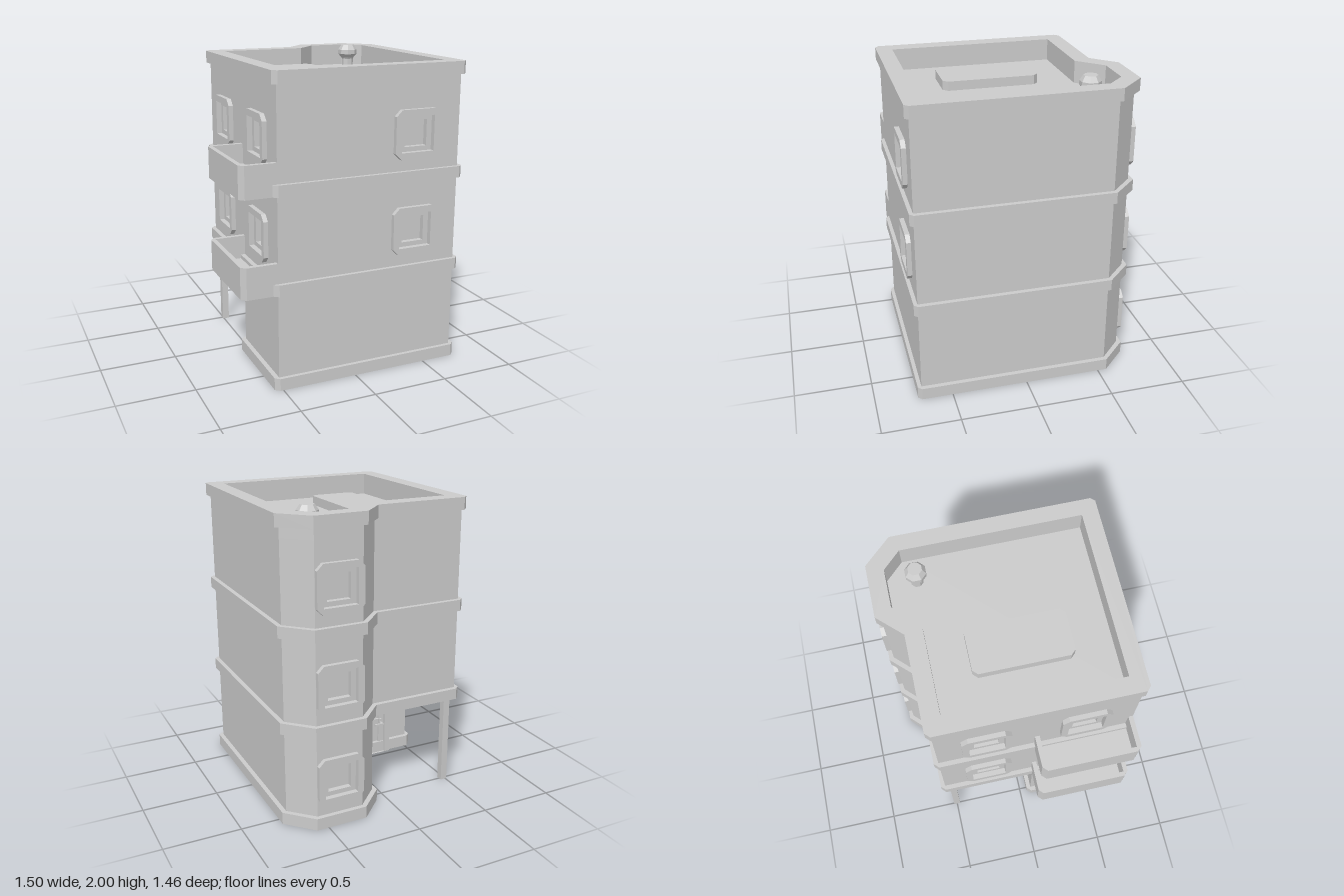
import * as THREE from 'three';

const mat = new THREE.MeshStandardMaterial({ color: 0xcccccc, flatShading: true });

// Plan outlines as [x, z], running front, left side, back, right side
const bay = [[0.715, 0.70], [0.715, -0.55], [0.565, -0.70], [0.25, -0.70], [0.10, -0.55]];
const upperWall = [[-0.52, 0.70], ...bay, [-0.52, -0.55]];
const groundWall = [[-0.52, 0.70], ...bay, [0.10, 0.08], [-0.52, 0.08]];
const ledgeBay = [[-0.52, 0.725], [0.72, 0.725], [0.745, 0.70], [0.745, -0.56], [0.58, -0.73], [0.235, -0.73]];
const upperLedge = [...ledgeBay, [0.09, -0.58], [-0.52, -0.58], [-0.55, -0.55], [-0.55, 0.70]];
const groundLedge = [...ledgeBay, [0.07, -0.565], [0.07, 0.05], [-0.52, 0.05], [-0.55, 0.08], [-0.55, 0.70]];
const roofInner = [[-0.44, 0.62], [0.64, 0.62], [0.64, -0.515], [0.53, -0.625], [0.28, -0.625], [0.13, -0.47], [-0.44, -0.47]];

const toShape = (pts) => new THREE.Shape(pts.map(([x, y]) => new THREE.Vector2(x, y)));

function add(parent, name, geometry, x = 0, y = 0, z = 0) {
  const mesh = new THREE.Mesh(geometry, mat);
  mesh.name = name;
  mesh.position.set(x, y, z);
  parent.add(mesh);
  return mesh;
}

// Rectangle with optional cut corners, centred on (cx, cy)
function rect(w, h, cx = 0, cy = 0, c = 0) {
  const a = w / 2, b = h / 2;
  const pts = c
    ? [[-a + c, -b], [a - c, -b], [a, -b + c], [a, b - c], [a - c, b], [-a + c, b], [-a, b - c], [-a, -b + c]]
    : [[-a, -b], [a, -b], [a, b], [-a, b]];
  return pts.map(([x, y]) => [x + cx, y + cy]);
}

function extrude(outline, holes, depth) {
  const shape = toShape(outline);
  shape.holes = holes.map(toShape);
  return new THREE.ExtrudeGeometry(shape, { depth, bevelEnabled: false });
}

// Horizontal slab from a plan outline between two heights
function slab(parent, name, outline, y0, y1, holes = []) {
  const flip = (pts) => pts.map(([x, z]) => [x, -z]);
  const geometry = extrude(flip(outline), holes.map(flip), y1 - y0).rotateX(-Math.PI / 2);
  return add(parent, name, geometry, 0, y0, 0);
}

// Stepped window, centred on its own origin and facing +z
function makeWindow() {
  const g = new THREE.Group();
  g.name = 'window';
  add(g, 'windowSurround', extrude(rect(0.31, 0.31, 0, 0, 0.04), [rect(0.225, 0.225)], 0.09), 0, 0, -0.06);
  add(g, 'windowSash', extrude(rect(0.225, 0.225), [rect(0.155, 0.165)], 0.045), 0, 0, -0.05);
  add(g, 'windowPane', new THREE.BoxGeometry(0.225, 0.225, 0.01), 0, 0, -0.045);
  return g;
}

// Door with a raised frame, two sunk panels and a lever handle
function makeDoor() {
  const g = new THREE.Group();
  g.name = 'door';
  add(g, 'doorFrame', extrude(rect(0.34, 0.54, 0, 0.27), [rect(0.26, 0.5, 0, 0.25)], 0.045));
  add(g, 'doorLeaf', extrude(rect(0.26, 0.5, 0, 0.25), [rect(0.18, 0.15, 0, 0.125), rect(0.18, 0.19, 0, 0.36)], 0.02));
  add(g, 'doorPanels', new THREE.BoxGeometry(0.26, 0.5, 0.01), 0, 0.25, 0);
  add(g, 'handlePlate', new THREE.BoxGeometry(0.025, 0.06, 0.01), 0.1, 0.235, 0.025);
  add(g, 'handleStem', new THREE.BoxGeometry(0.014, 0.014, 0.04), 0.1, 0.235, 0.045);
  add(g, 'handleLever', new THREE.BoxGeometry(0.07, 0.014, 0.012), 0.075, 0.235, 0.06);
  return g;
}

// One storey of wall panels; windows[i] lists distances along panel i
function storey(parent, name, outline, y0, y1, windowY, windows, doors = {}) {
  const g = new THREE.Group();
  g.name = name;
  outline.forEach(([x, z], i) => {
    const [bx, bz] = outline[(i + 1) % outline.length];
    const length = Math.hypot(bx - x, bz - z);
    const panel = new THREE.Group();
    panel.name = 'wallPanel';
    panel.position.set(x, 0, z);
    panel.rotation.y = Math.atan2(z - bz, bx - x);
    const shape = toShape(rect(length, y1 - y0, length / 2, (y0 + y1) / 2));
    for (const d of windows[i] ?? []) {
      shape.holes.push(toShape(rect(0.25, 0.25, d, windowY)));
      const w = makeWindow();
      w.position.set(d, windowY, 0);
      panel.add(w);
    }
    if (doors[i]) {
      const door = makeDoor();
      door.position.x = doors[i];
      panel.add(door);
    }
    add(panel, 'wall', new THREE.ShapeGeometry(shape));
    g.add(panel);
  });
  parent.add(g);
}

// Balcony tray with a solid parapet on three sides
function balcony(parent, y) {
  const g = new THREE.Group();
  g.name = 'balcony';
  const outer = [[-0.52, 0.07], [-0.72, 0.07], [-0.75, 0.10], [-0.75, 0.67], [-0.72, 0.70], [-0.52, 0.70]];
  slab(g, 'balconyFloor', outer, y, y + 0.05);
  const rail = [...outer, [-0.52, 0.67], [-0.72, 0.67], [-0.72, 0.10], [-0.52, 0.10]];
  slab(g, 'balconyParapet', rail, y + 0.05, y + 0.205);
  parent.add(g);
}

export function createModel() {
  const model = new THREE.Group();
  model.name = 'apartmentBlock';

  // Walls, windows and the recessed entrance
  const upperWindows = { 0: [0.925], 3: [0.1575], 6: [0.315, 0.935] };
  storey(model, 'groundFloor', groundWall, 0.08, 0.625, 0.315, { 3: [0.1575] }, { 6: 0.29 });
  storey(model, 'firstFloor', upperWall, 0.70, 1.245, 0.932, upperWindows);
  storey(model, 'secondFloor', upperWall, 1.32, 1.84, 1.552, upperWindows);

  // Projecting bands between the storeys
  slab(model, 'baseLedge', groundLedge, 0, 0.08);
  slab(model, 'firstFloorLedge', upperLedge, 0.625, 0.70);
  slab(model, 'secondFloorLedge', upperLedge, 1.245, 1.32);

  // Post under the overhanging corner
  add(model, 'cornerPost', new THREE.BoxGeometry(0.045, 0.63, 0.045), -0.485, 0.315, -0.50);

  for (const y of [0.625, 1.245]) balcony(model, y);

  // Roof
  slab(model, 'roofDeck', upperWall, 1.80, 1.84).scale.set(0.998, 1, 0.998);
  slab(model, 'parapet', upperWall, 1.84, 1.905, [roofInner]);
  slab(model, 'coping', upperLedge, 1.905, 1.985, [roofInner]);
  slab(model, 'roofHatch', rect(0.305, 0.62, -0.0575, 0.07, 0.03), 1.84, 1.90);

  // Roof vent: short stem with a faceted cap
  const ventProfile = [[0.04, 0], [0.04, 0.06], [0.045, 0.07], [0.068, 0.095], [0.068, 0.125], [0.045, 0.16], [0, 0.16]]
    .map(([r, y]) => new THREE.Vector2(r, y));
  add(model, 'roofVent', new THREE.LatheGeometry(ventProfile, 8, Math.PI / 8), 0.49, 1.84, -0.445);

  return model;
}
